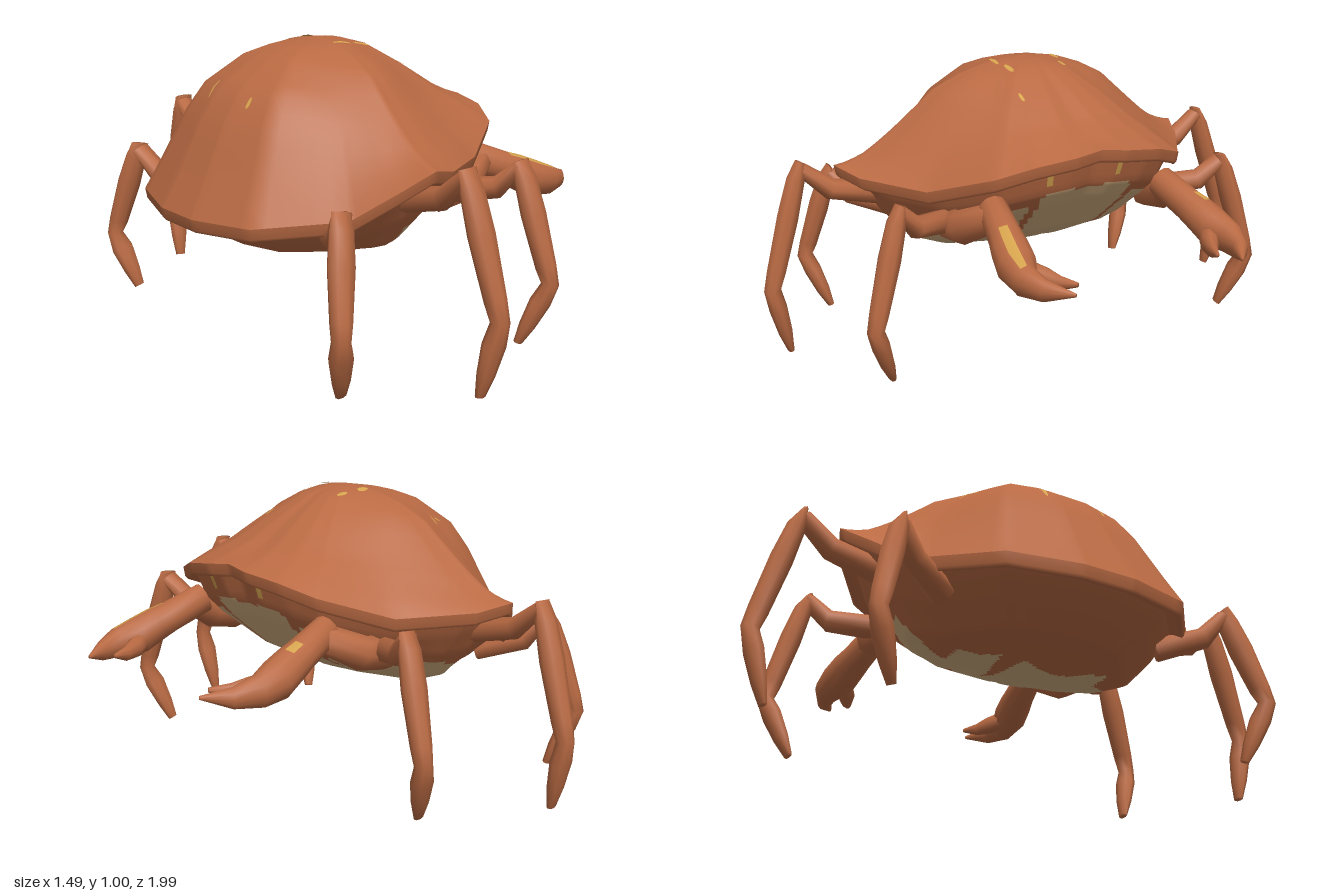
import * as THREE from 'three';

const mat = (name, color, double) => {
  const m = new THREE.MeshStandardMaterial({ color });
  m.name = name;
  if (double) m.side = THREE.DoubleSide;
  return m;
};
const V = (x, y, z) => new THREE.Vector3(x, y, z);

// Half of the shell rim, from front to back: x, z, height
const HALF = [
  [0.38, 0, 0.77], [0.395, 0.1, 0.76], [0.37, 0.24, 0.74], [0.31, 0.36, 0.70],
  [0.1, 0.51, 0.625], [-0.13, 0.66, 0.635], [-0.25, 0.71, 0.66], [-0.34, 0.64, 0.59],
  [-0.45, 0.54, 0.50], [-0.68, 0.34, 0.47], [-0.745, 0.1, 0.46], [-0.745, 0, 0.46],
];
const RIM = [...HALF, ...HALF.slice(1, -1).reverse().map(([x, z, y]) => [x, -z, y])];
const CX = -0.17, TOP = 1.0, BOTTOM = 0.305, STEPS = 6;

// Piecewise linear lookup in a list of [position, value]
const look = (table, s) => {
  for (let i = 1; i < table.length; i++) {
    const [a, fa] = table[i - 1], [b, fb] = table[i];
    if (s <= b) return fa + (fb - fa) * (s - a) / (b - a);
  }
  return table[table.length - 1][1];
};
const mix = (a, b, w) => a + (b - a) * w;

// Radial height profiles of the dome and the underside
const DOME_BACK = [[0, 1], [0.25, 0.96], [0.42, 0.89], [0.64, 0.71], [0.75, 0.53], [0.92, 0.16], [1, 0]];
const DOME_SIDE = [[0, 1], [0.18, 0.97], [0.35, 0.87], [0.49, 0.75], [0.7, 0.42], [0.85, 0.19], [1, 0]];
const DOME_FRONT = [[0, 1], [0.14, 0.975], [0.28, 0.89], [0.5, 0.6], [0.7, 0.3], [0.88, 0.11], [1, 0]];
const BELLY_FRONT = [[0, 0], [0.25, 0.1], [0.5, 0.27], [0.77, 0.58], [0.86, 0.72], [0.94, 1]];
const BELLY_BACK = [[0, 0], [0.25, 0.02], [0.5, 0.07], [0.62, 0.16], [0.77, 0.47], [0.87, 0.75], [0.94, 1]];

// The dome rises from a tilted plane; the wavy rim only bends its outer edge
const domePoint = ([x, z, y], s) => {
  const back = THREE.MathUtils.smoothstep(-x, 0.2, 0.7);
  const front = THREE.MathUtils.smoothstep(x, -0.1, 0.38);
  const f = look(DOME_SIDE, s) * (1 - back - front) + look(DOME_BACK, s) * back + look(DOME_FRONT, s) * front;
  const base = 0.65 + 0.255 * x;
  return V(mix(CX, x, s), mix(base, TOP, f) + (y - base) * s ** 6, z * s);
};
const bellyPoint = ([x, z, y], s) => {
  const w = THREE.MathUtils.smoothstep(-x, -0.35, 0.25);
  const f = mix(look(BELLY_FRONT, s), look(BELLY_BACK, s), w);
  return V(mix(CX, x, s), mix(BOTTOM, y, f), z * s);
};

// Rim with extra points between the corners
const rimPoints = RIM.flatMap((a, i) => {
  const b = RIM[(i + 1) % RIM.length];
  return Array.from({ length: STEPS }, (_, k) => a.map((v, c) => mix(v, b[c], k / STEPS)));
});

// Skin closed rings; paint(centre, i, j) picks a material index
function loft(rings, materials, paint = () => 0, creases = []) {
  const n = rings[0].length, pos = [], buckets = materials.map(() => []);
  rings.forEach(r => r.forEach(p => pos.push(p.x, p.y, p.z)));
  for (let i = 0; i < rings.length - 1; i++) {
    if (creases.includes(i)) continue;
    for (let j = 0; j < n; j++) {
      const k = (j + 1) % n, a = i * n + j, b = i * n + k, c = a + n, d = b + n;
      const mid = rings[i][j].clone().add(rings[i + 1][k]).multiplyScalar(0.5);
      buckets[paint(mid, i, j)].push(a, b, c, b, d, c);
    }
  }
  const g = new THREE.BufferGeometry();
  g.setAttribute('position', new THREE.Float32BufferAttribute(pos, 3));
  g.setIndex(buckets.flat());
  let start = 0;
  buckets.forEach((b, m) => { g.addGroup(start, b.length, m); start += b.length; });
  g.computeVertexNormals();
  return new THREE.Mesh(g, materials);
}

// Tapered limb; stations are [x, y, z, radiusU, radiusV]
function limb(stations, ref, materials, paint, sides = 8) {
  const pts = stations.map(s => V(s[0], s[1], s[2]));
  const rings = pts.map((p, i) => {
    const t = pts[Math.min(i + 1, pts.length - 1)].clone().sub(pts[Math.max(i - 1, 0)]).normalize();
    const u = ref.clone().addScaledVector(t, -t.dot(ref)).normalize();
    const v = t.clone().cross(u);
    return Array.from({ length: sides }, (_, j) => {
      const a = j / sides * Math.PI * 2;
      return p.clone().addScaledVector(u, Math.cos(a) * stations[i][3])
        .addScaledVector(v, Math.sin(a) * stations[i][4]);
    });
  });
  const cap = p => Array.from({ length: sides }, () => p.clone());
  return loft([cap(pts[0]), ...rings, cap(pts[pts.length - 1])], materials, paint);
}

// Dome height above any spot, found along the ray from the crown
function onDome(x, z) {
  const dx = x - CX;
  for (let i = 0; i < RIM.length; i++) {
    const a = RIM[i], b = RIM[(i + 1) % RIM.length];
    const ex = b[0] - a[0], ez = b[1] - a[1], det = dx * ez - z * ex;
    if (Math.abs(det) < 1e-9) continue;
    const ax = a[0] - CX, r = (ax * ez - a[1] * ex) / det, q = (ax * z - a[1] * dx) / det;
    if (r > 0 && q >= 0 && q <= 1) return domePoint(a.map((v, c) => mix(v, b[c], q)), 1 / r);
  }
  return V(x, TOP, z);
}

export function createModel() {
  const crab = new THREE.Group();
  crab.name = 'crab';
  const brown = mat('rust brown', 0xb96a43);
  const pale = mat('pale belly', 0xd2ae80);
  const yellow = mat('ochre fleck', 0xd6a44e, true);
  const add = (mesh, name) => { mesh.name = name; crab.add(mesh); return mesh; };

  // Shell with a thick turned-under lip
  const levels = [0, 0.07, 0.14, 0.21, 0.28, 0.35, 0.42, 0.49, 0.57, 0.64, 0.7, 0.75, 0.8, 0.85, 0.9, 0.95, 1];
  const rings = levels.map(s => rimPoints.map(p => domePoint(p, s)));
  const lip = (s, drop) => rimPoints.map(p => V(mix(CX, p[0], s), p[2] - drop, p[1] * s));
  rings.push(lip(1, 0), lip(0.99, 0.035), lip(0.975, 0.045), lip(0.92, 0.03), lip(0.86, 0.01));
  add(loft(rings, [brown], undefined, [levels.length - 1]), 'shell');

  // Underside with a pale, streaked front patch and two flecks below the lip
  const bellyLevels = Array.from({ length: 46 }, (_, i) => 0.94 * (1 - i / 45));
  const bellyPaint = p => {
    const az = Math.abs(p.z);
    if (p.x > 0 && p.y > 0.66 && (Math.abs(p.z - 0.17) < 0.009 || Math.abs(p.z + 0.1) < 0.009)) return 2;
    const rear = (az > 0.28 ? -0.2 : -0.3) + 0.03 * Math.sin(p.z * 18);
    if (az > 0.48 || p.x < rear) return 0;
    if (p.y > (az < 0.17 ? 0.625 : 0.43 + Math.max(0, p.x) * 0.55)) return 0;
    const streak = Math.abs(az - 0.17 - 0.015 * Math.sin(p.y * 14)) < 0.012 && p.x > 0;
    const notch = p.x < -0.1 && Math.abs(p.z + 0.1) < (-0.1 - p.x) * 0.2;
    return streak || notch ? 0 : 1;
  };
  add(loft(bellyLevels.map(s => rimPoints.map(p => bellyPoint(p, s))), [brown, pale, yellow], bellyPaint), 'belly');

  // Small flecks lying on the shell
  const flecks = [[-0.53, -0.1, 0.025, 0.007], [-0.14, -0.11, 0.022, 0.016], [-0.055, -0.095, 0.024, 0.011],
    [-0.16, 0.125, 0.04, 0.007], [-0.07, 0.11, 0.035, 0.009], [-0.54, 0.13, 0.012, 0.007],
    [0.08, 0.14, 0.022, 0.006], [-0.32, -0.29, 0.006, 0.02], [-0.36, -0.27, 0.018, 0.004]];
  for (const [x, z, rx, rz] of flecks) {
    const g = new THREE.CircleGeometry(1, 8).rotateX(-Math.PI / 2);
    const p = g.attributes.position;
    for (let i = 0; i < p.count; i++) {
      const q = onDome(x + p.getX(i) * rx, z + p.getZ(i) * rz);
      p.setXYZ(i, q.x, q.y + 0.004, q.z);
    }
    g.computeVertexNormals();
    add(new THREE.Mesh(g, yellow), 'shellFleck');
  }

  // Walking legs: base, knee, ankle, tip
  const legs = {
    frontLeg: [[0.06, 0.5, 0.42], [0.185, 0.605, 0.645], [0.22, 0.22, 0.755], [0.155, 0.01, 0.68]],
    middleLeg: [[-0.24, 0.53, 0.5], [-0.24, 0.67, 0.84], [-0.22, 0.25, 0.965], [-0.24, 0.005, 0.91]],
    backLeg: [[-0.42, 0.42, 0.42], [-0.55, 0.55, 0.635], [-0.62, 0.21, 0.725], [-0.565, 0.005, 0.65]],
  };
  for (const side of [1, -1]) {
    const flip = s => s.map((v, i) => i === 2 ? v * side : v);
    const prefix = side > 0 ? 'left' : 'right';
    for (const [name, [base, knee, ankle, tip]] of Object.entries(legs)) {
      const at = (a, b, t, ru, rv) => flip([...a.map((v, i) => mix(v, b[i], t)), ru, rv]);
      const ref = V(1, 0, 0);
      // the thigh sags before it rises to the pointed knee
      const bend = at(base, knee, 0.68, 0.042, 0.038);
      bend[1] -= 0.045;
      add(limb([at(base, knee, 0, 0.045, 0.045), bend, at(base, knee, 0.98, 0.037, 0.024)],
        ref, [brown]), `${prefix} ${name} thigh`);
      add(limb([at(knee, ankle, -0.05, 0.036, 0.01), at(knee, ankle, 0.1, 0.042, 0.032),
        at(knee, ankle, 0.4, 0.046, 0.038), at(knee, ankle, 0.85, 0.036, 0.034),
        at(knee, ankle, 1, 0.03, 0.03), at(ankle, tip, 0.3, 0.043, 0.032),
        at(ankle, tip, 0.7, 0.033, 0.025), at(ankle, tip, 1, 0.02, 0.012)],
        ref, [brown]), `${prefix} ${name} shin`);
    }

    // Claw arm, large pincer with an ochre streak, and small finger
    const up = V(0, 1, 0);
    add(limb([[0.03, 0.48, 0.4, 0.06, 0.05], [0.15, 0.5, 0.41, 0.06, 0.05], [0.27, 0.56, 0.35, 0.05, 0.05]].map(flip),
      up, [brown]), `${prefix} upperArm`);
    const streak = (p, i, j) => p.x > 0.38 && p.x < (side > 0 ? 0.6 : 0.44) && j === (side > 0 ? 0 : 11) ? 1 : 0;
    add(limb([[0.24, 0.58, 0.335, 0.055, 0.05], [0.38, 0.525, 0.36, 0.057, 0.058], [0.43, 0.505, 0.37, 0.062, 0.064],
      [0.5, 0.472, 0.382, 0.068, 0.066], [0.58, 0.455, 0.395, 0.055, 0.046], [0.66, 0.445, 0.37, 0.036, 0.028],
      [0.745, 0.45, 0.312, 0.006, 0.006]].map(flip), up, [brown, yellow], streak, 12), `${prefix} claw`);
    add(limb([[0.49, 0.46, 0.365, 0.04, 0.035], [0.56, 0.445, 0.32, 0.036, 0.032], [0.61, 0.44, 0.295, 0.026, 0.02],
      [0.675, 0.45, 0.265, 0.008, 0.008]].map(flip), up, [brown]), `${prefix} clawFinger`);
  }
  return crab;
}
